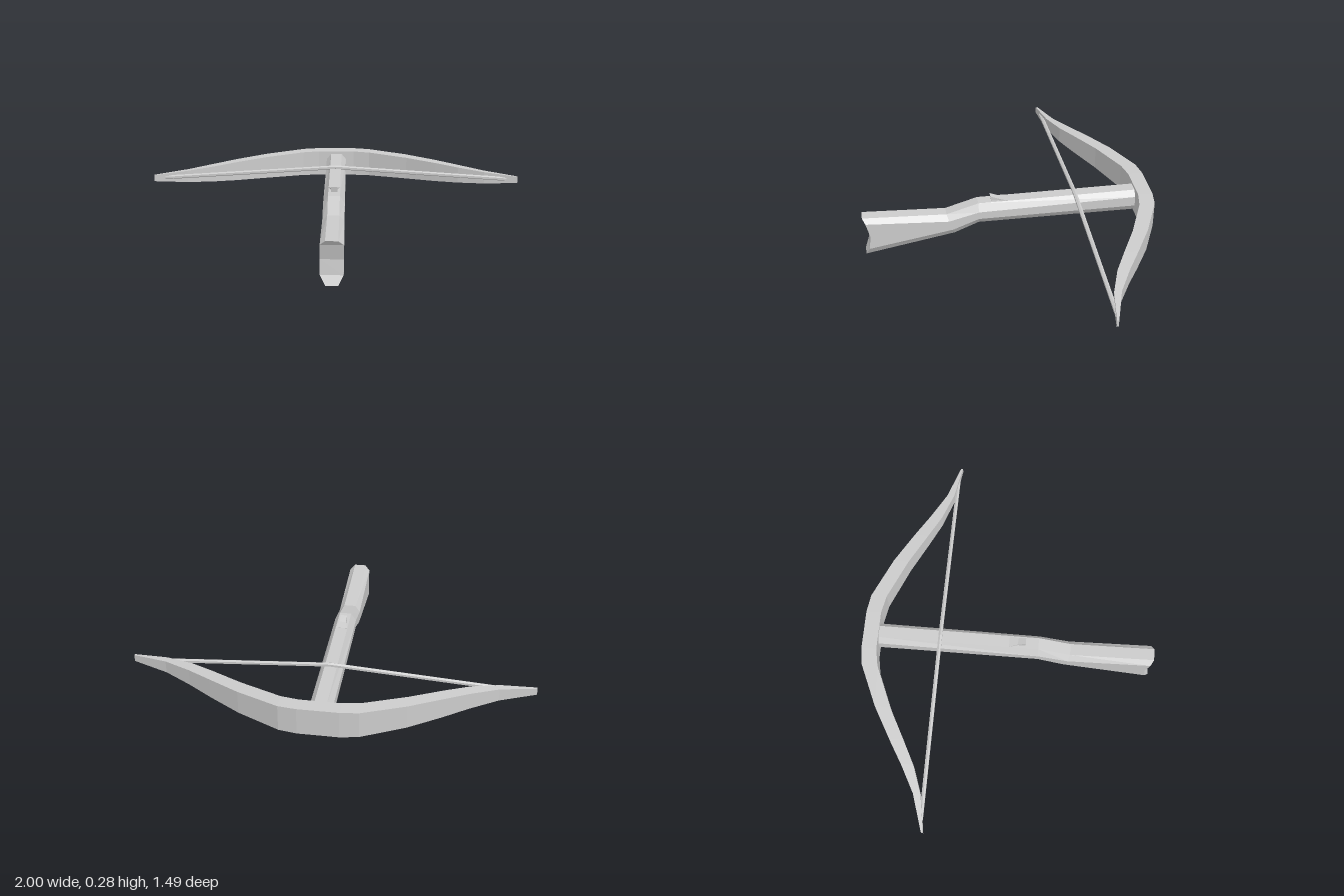
import * as THREE from 'three';

// Joins equal-sized rings of [x, y, z] points into a capped solid.
// Rings run counter-clockwise as seen from the end they advance towards.
function loft(name, rings) {
  const pos = [];
  const quad = (a, b, c, d) => pos.push(...a, ...b, ...c, ...a, ...c, ...d);
  const n = rings[0].length;
  for (let i = 0; i < rings.length - 1; i++) {
    for (let j = 0; j < n; j++) {
      const k = (j + 1) % n;
      quad(rings[i][j], rings[i][k], rings[i + 1][k], rings[i + 1][j]);
    }
  }
  // End caps as strips between opposite sides of the ring
  const first = rings[0], last = rings[rings.length - 1];
  for (let j = 0; j < n / 2 - 1; j++) {
    quad(last[j], last[j + 1], last[n - 2 - j], last[n - 1 - j]);
    quad(first[n - 1 - j], first[n - 2 - j], first[j + 1], first[j]);
  }
  const geo = new THREE.BufferGeometry();
  geo.setAttribute('position', new THREE.Float32BufferAttribute(pos, 3));
  geo.computeVertexNormals();
  const mesh = new THREE.Mesh(geo, new THREE.MeshStandardMaterial({ color: 0xcccccc, flatShading: true }));
  mesh.name = name;
  return mesh;
}

// Completes a right-hand half section, listed bottom to top, with its mirror image
const mirrorRing = half => [...half, ...half.map(([x, y, z]) => [-x, y, z]).reverse()];

function createStock() {
  const W = 0.055, w = 0.03;
  // Each section: [y, z] of bottom, lower side, mid side, upper side, top
  const sections = [
    [[0.13, -0.68], [0.167, -0.68], [0.195, -0.68], [0.22, -0.68], [0.25, -0.68]],
    [[0.135, 0.15], [0.17, 0.15], [0.19, 0.15], [0.21, 0.15], [0.25, 0.15]],
    [[0.083, 0.275], [0.118, 0.285], [0.145, 0.295], [0.17, 0.305], [0.2, 0.315]],
    [[0, 0.738], [0.045, 0.718], [0.12, 0.71], [0.197, 0.73], [0.22, 0.745]],
  ];
  const widths = [w, W, W, W, w];
  return loft('stock', sections.map(s => mirrorRing(s.map(([y, z], i) => [widths[i], y, z]))));
}

function createBow() {
  // One limb: x, outer z, inner z, bottom y, top y
  const limb = [
    [0.1, -0.748, -0.672, 0.125, 0.265],
    [0.19, -0.735, -0.655, 0.127, 0.263],
    [0.4, -0.643, -0.565, 0.135, 0.257],
    [0.56, -0.552, -0.48, 0.145, 0.25],
    [0.68, -0.48, -0.418, 0.155, 0.242],
    [0.82, -0.405, -0.368, 0.165, 0.23],
    [1, -0.348, -0.338, 0.178, 0.213],
  ];
  const sections = [...limb.map(([x, ...r]) => [-x, ...r]).reverse(), ...limb];
  return loft('bow', sections.map(([x, o, i, b, t]) => [[x, b, o], [x, t, o], [x, t, i], [x, b, i]]));
}

function createString() {
  // Thin hexagonal cord, raised over the stock in the middle
  const ring = (x, y) => Array.from({ length: 6 }, (_, k) => {
    const a = (k * Math.PI) / 3;
    return [x, y + 0.011 * Math.cos(a), -0.355 + 0.011 * Math.sin(a)];
  });
  return loft('bowString', [ring(-0.94, 0.196), ring(0, 0.258), ring(0.94, 0.196)]);
}

function createLatch() {
  // Small wedge that rises towards the butt
  const sections = [[0, 0.03, 0.251, 0], [0.045, 0.017, 0.26, 0], [0.08, 0.017, 0.276, 0.005]];
  return loft('latch', sections.map(([z, w, top, lean]) => mirrorRing([[w, 0.24, z], [w, top, z + lean]])));
}

export function createModel() {
  const model = new THREE.Group();
  model.name = 'crossbow';
  model.add(createStock(), createBow(), createString(), createLatch());
  return model;
}
